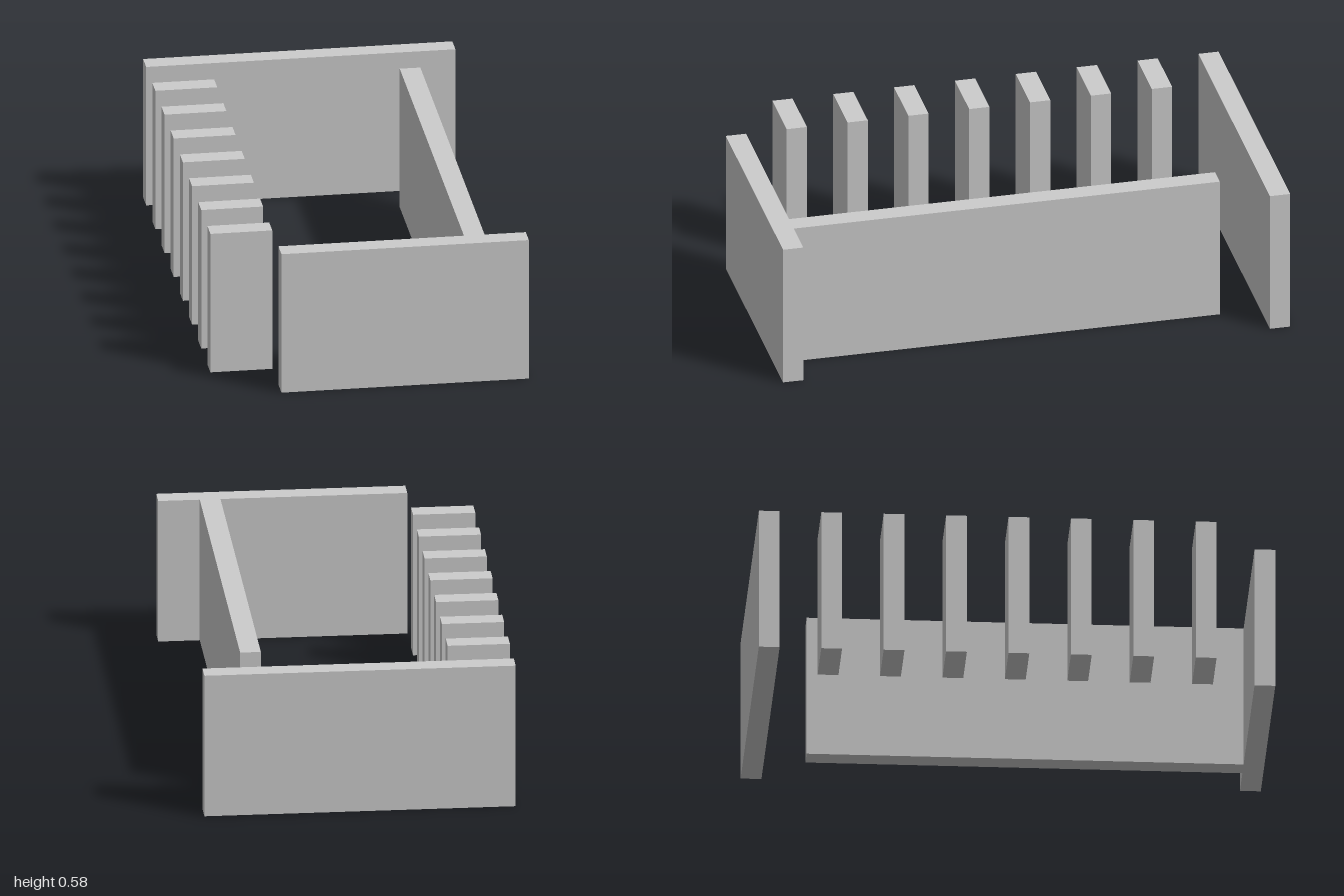
import * as THREE from 'three';

const HEIGHT = 0.576;
const THICK = 0.08;

export function createModel() {
  const model = new THREE.Group();
  model.name = 'wallLayout';
  const material = new THREE.MeshStandardMaterial({ color: 0xcccccc, flatShading: true });

  const add = (name, geometry) => {
    const mesh = new THREE.Mesh(geometry, material);
    mesh.name = name;
    model.add(mesh);
    return mesh;
  };

  // upright slab standing on the ground, running along x
  const addSlab = (name, x0, x1, z) =>
    add(name, new THREE.BoxGeometry(x1 - x0, HEIGHT, THICK)).position.set((x0 + x1) / 2, HEIGHT / 2, z);

  // full-width wall at the back
  addSlab('backWall', -0.6, 0.6, -0.96);

  // row of seven evenly spaced fins along the right side
  for (let i = 0; i < 7; i++) addSlab(`fin${i + 1}`, -0.6, -0.36, -0.72 + i * 0.24);

  // front wall and long side wall joined in one T-shaped plan, given as [x, z]
  const plan = [
    [-0.36, 1], [0.6, 1], [0.6, 0.92], [0.44, 0.92],
    [0.44, -0.76], [0.36, -0.76], [0.36, 0.92], [-0.36, 0.92],
  ];
  const shape = new THREE.Shape(plan.map(([x, z]) => new THREE.Vector2(x, -z)));
  const geometry = new THREE.ExtrudeGeometry(shape, { depth: HEIGHT, bevelEnabled: false });
  add('frontAndSideWall', geometry.rotateX(-Math.PI / 2));

  return model;
}
